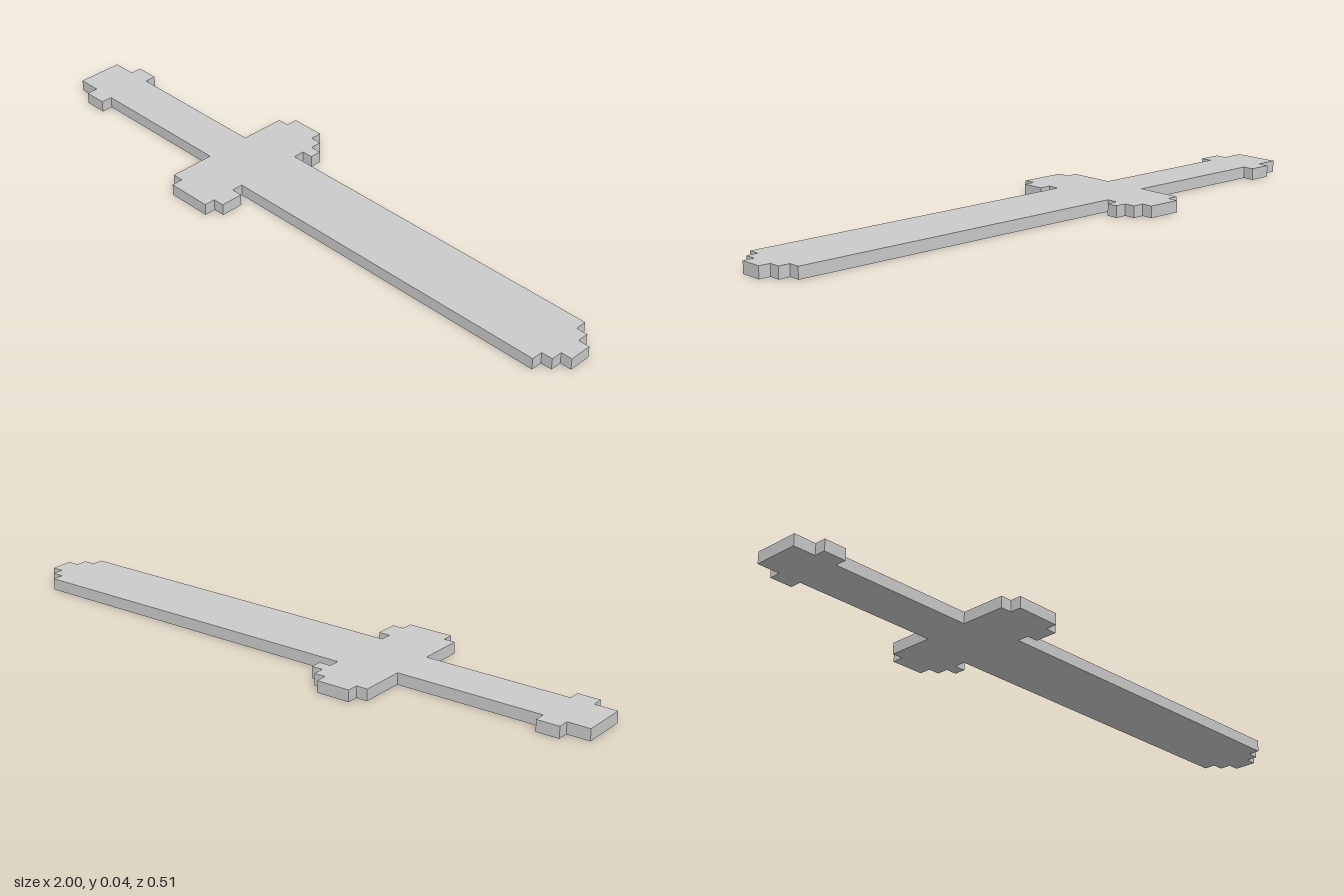
import * as THREE from 'three';

const CELLS = 55;         // length of the sword in grid cells
const U = 2 / CELLS;      // size of one cell, also the thickness

// Extrudes a stepped outline given as columns [xStart, xEnd, zBack, zFront] in cells.
function steppedPart(name, material, columns) {
  const front = columns.flatMap(([a, b, , f]) => [[a, f], [b, f]]);
  const back = columns.flatMap(([a, b, k]) => [[a, k], [b, k]]).reverse();
  const points = [...front, ...back]
    .filter(([x, z], i, all) => i === 0 || x !== all[i - 1][0] || z !== all[i - 1][1])
    .map(([x, z]) => new THREE.Vector2(x * U - 1, -z * U));
  const geometry = new THREE.ExtrudeGeometry(new THREE.Shape(points), { depth: U, bevelEnabled: false });
  geometry.rotateX(-Math.PI / 2); // lay the outline flat, thickness upward
  const mesh = new THREE.Mesh(geometry, material);
  mesh.name = name;
  return mesh;
}

export function createModel() {
  const material = new THREE.MeshStandardMaterial({ color: 0xcccccc, flatShading: true });
  const parts = {
    pommel: [[0, 2, -2, 2], [2, 4, -3, 3]],
    grip: [[4, 17, -2, 2]],
    // crossguard, with one corner cell missing at the back
    guard: [[17, 18, -6, 6], [18, 21, -7, 7], [21, 22, -6, 7]],
    // small teeth pointing along the blade
    guardToothFront: [[22, 23, 4, 6]],
    guardToothBack: [[22, 23, -5, -4]],
    // blade, stepping down to the tip
    blade: [[22, 53, -3, 3], [53, 54, -2, 2], [54, 55, -1, 1]],
  };

  const sword = new THREE.Group();
  sword.name = 'pixelSword';
  for (const [name, columns] of Object.entries(parts)) {
    sword.add(steppedPart(name, material, columns));
  }
  return sword;
}
